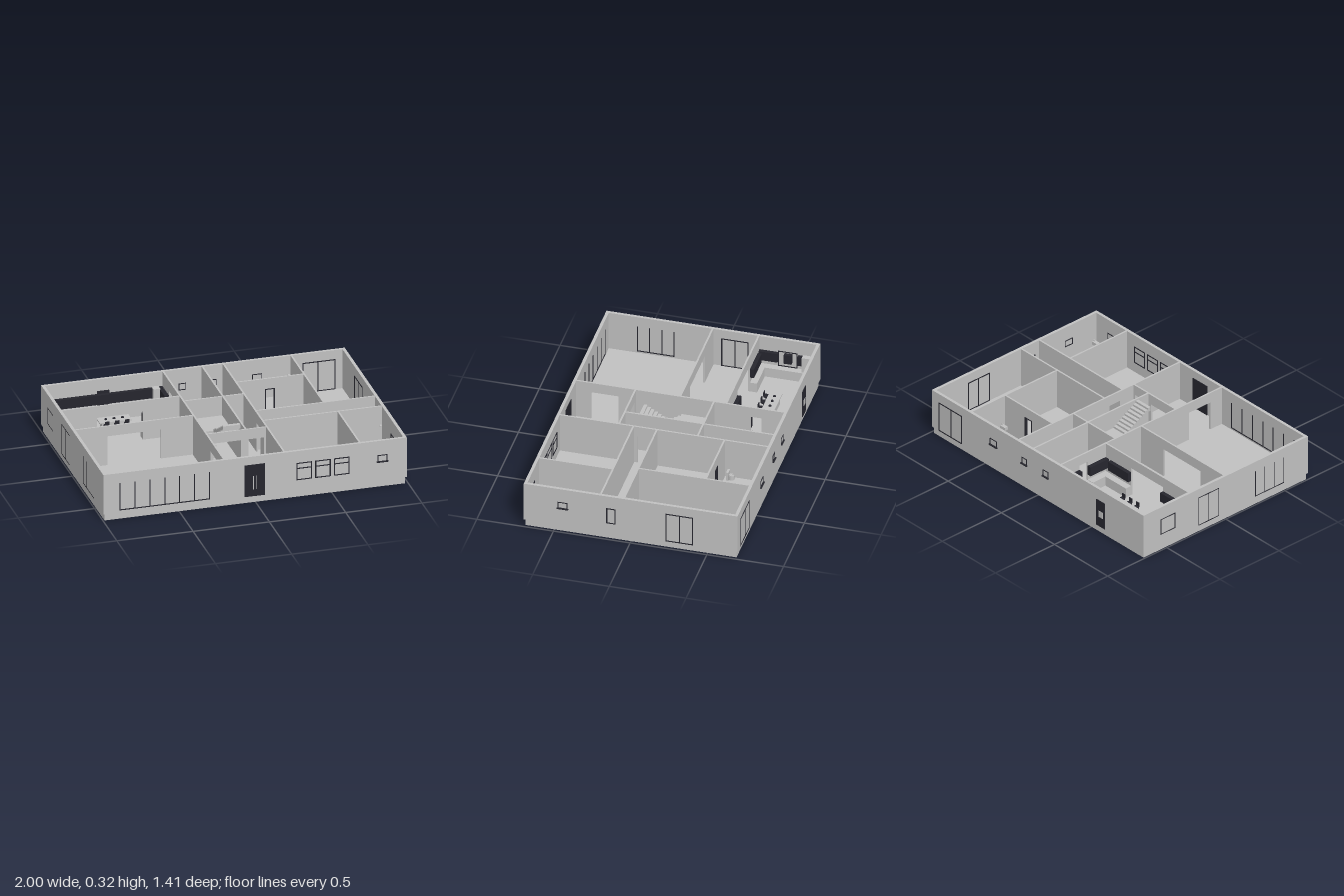
import * as THREE from 'three';

const FLOOR = 0.05, TOP = 0.32, HEAD = 0.25;

export function createModel() {
  const model = new THREE.Group();
  model.name = 'singleStoreyHouse';
  const grey = new THREE.MeshStandardMaterial({ color: 0xc0c0c0 });
  grey.name = 'plasterGrey';
  const dark = new THREE.MeshStandardMaterial({ color: 0x26262e });
  dark.name = 'charcoal';

  const group = (name) => {
    const g = new THREE.Group();
    g.name = name;
    model.add(g);
    return g;
  };
  // Box from its limits on each axis
  const box = (parent, name, mat, x0, x1, y0, y1, z0, z1) => {
    const m = new THREE.Mesh(new THREE.BoxGeometry(x1 - x0, y1 - y0, z1 - z0), mat);
    m.position.set((x0 + x1) / 2, (y0 + y1) / 2, (z0 + z1) / 2);
    m.name = name;
    parent.add(m);
    return m;
  };
  // Box running along x or z (u), with n0..n1 across it
  const slab = (parent, name, mat, axis, u0, u1, y0, y1, n0, n1) =>
    axis === 'x' ? box(parent, name, mat, u0, u1, y0, y1, n0, n1) : box(parent, name, mat, n0, n1, y0, y1, u0, u1);
  const cyl = (parent, name, mat, r, y0, y1, x, z, sides = 20) => {
    const m = new THREE.Mesh(new THREE.CylinderGeometry(r, r, y1 - y0, sides), mat);
    m.position.set(x, (y0 + y1) / 2, z);
    m.name = name;
    parent.add(m);
    return m;
  };

  // Foundation and outer walls
  box(model, 'foundation', grey, -0.99, 0.98, 0, FLOOR, -0.688, 0.688);
  const outer = group('outerWalls');
  const W = -1, E = 0.99, Z = 0.697, T = 0.02;
  box(outer, 'frontWall', grey, W, E, FLOOR - 0.003, TOP, Z - T, Z);
  box(outer, 'backWall', grey, W, E, FLOOR - 0.003, TOP, -Z, -Z + T);
  box(outer, 'rightWall', grey, W, W + T, FLOOR - 0.003, TOP, -Z + T, Z - T);
  box(outer, 'leftWall', grey, E - T, E, FLOOR - 0.003, TOP, -Z + T, Z - T);

  // Inner walls: axis, position across, start, end, doorways [from, to]
  const inner = group('innerWalls');
  const half = 0.006;
  const walls = [
    ['x', -0.3, -0.98, -0.211, [[-0.75, -0.45]]],
    ['x', 0, -0.98, -0.211, [[-0.77, -0.42]]],
    ['z', -0.205, -0.677, 0.677, [[-0.53, -0.46], [0.4, 0.58]]],
    ['x', -0.22, -0.199, 0.184, []],
    ['x', 0.292, -0.199, 0.184, [[-0.16, 0.02], [0.07, 0.17]]],
    ['z', 0.052, -0.677, -0.226, []],
    ['z', 0.052, -0.214, 0.286, []],
    ['z', 0.19, -0.677, 0.677, [[0.08, 0.17]]],
    ['x', -0.395, 0.196, 0.629, [[0.38, 0.44]]],
    ['z', 0.635, -0.677, 0.039, []],
    ['x', 0.045, 0.196, 0.97, []],
    ['x', 0.198, 0.196, 0.97, []],
    ['z', 0.685, 0.204, 0.677, []],
  ];
  for (const [axis, n, a, b, doors] of walls) {
    let u = a;
    for (const [d0, d1] of doors) {
      slab(inner, 'wallSection', grey, axis, u, d0, FLOOR, TOP, n - half, n + half);
      slab(inner, 'doorHeader', grey, axis, d0, d1, HEAD, TOP, n - half, n + half);
      u = d1;
    }
    slab(inner, 'wallSection', grey, axis, u, b, FLOOR, TOP, n - half, n + half);
  }
  // Trim around the bathroom doorway
  for (const x of [0.38, 0.44]) box(inner, 'doorTrim', dark, x - 0.004, x + 0.004, FLOOR, HEAD, -0.403, -0.387);
  box(inner, 'doorTrim', dark, 0.376, 0.444, HEAD - 0.006, HEAD, -0.403, -0.387);

  // Window frames: bars pass just through the wall and show on both sides
  const windows = group('windows');
  const sides = {
    front: ['x', Z - T - 0.003, Z + 0.003],
    back: ['x', -Z - 0.003, -Z + T + 0.003],
    left: ['z', E - T - 0.003, E + 0.003],
    right: ['z', W - 0.0005, W + T + 0.003],
  };
  const frame = (side, uprights, rails, t = 0.006) => {
    const [axis, n0, n1] = sides[side];
    const u0 = uprights[0], u1 = uprights[uprights.length - 1];
    const y0 = Math.min(...rails.slice(0, 2)), y1 = Math.max(...rails.slice(0, 2));
    for (const u of uprights) slab(windows, 'frameUpright', dark, axis, u - t / 2, u + t / 2, y0, y1, n0, n1);
    for (const y of rails.slice(rails.noTop ? 2 : 0))
      slab(windows, 'frameRail', dark, axis, u0 - t / 2, u1 + t / 2, y - t / 2, y + t / 2, n0, n1);
  };
  // Tall glazing without a dark top rail
  const glazing = (side, uprights, y0, y1) => {
    const rails = [y0, y1, y0];
    rails.noTop = true;
    frame(side, uprights, rails);
  };
  glazing('front', [-0.89, -0.792, -0.695, -0.597, -0.5, -0.402, -0.305], 0.065, 0.25);
  glazing('right', [0.25, 0.33, 0.41, 0.49], 0.065, 0.25);
  for (const x of [0.27, 0.392, 0.514]) frame('front', [x, x + 0.095], [0.122, 0.235, 0.2]);
  frame('left', [0.1, 0.155], [0.12, 0.228]);
  frame('left', [-0.405, -0.32, -0.23], [0.052, 0.255]);
  frame('right', [-0.55, -0.43], [0.12, 0.228]);
  frame('right', [-0.23, -0.145, -0.06], [0.052, 0.255]);
  frame('back', [0.71, 0.81, 0.92], [0.052, 0.255]);

  // Small high windows with projecting sills
  const small = [['front', 0.83], ['left', 0.443], ['back', 0.41], ['back', 0.12], ['back', -0.08]];
  for (const [side, u] of small) {
    const w = side === 'back' && u < 0.3 ? 0.022 : 0.03;
    frame(side, [u - w, u + w], [0.178, 0.22], 0.005);
    const [axis, n0, n1] = sides[side];
    const out = side === 'back' ? [n0 - 0.007, n0 + 0.01] : [n1 - 0.01, n1 + 0.007];
    slab(windows, 'windowSill', dark, axis, u - w - 0.008, u + w + 0.008, 0.173, 0.179, ...out);
  }

  // Entrance doors
  const doors = group('doors');
  box(doors, 'frontDoor', dark, -0.075, 0.06, 0.047, 0.265, Z - T - 0.004, Z + 0.004);
  for (const x of [-0.018, 0.004]) box(doors, 'doorHandle', grey, x - 0.002, x + 0.002, 0.095, 0.187, Z + 0.004, Z + 0.007);
  box(doors, 'doorSeam', grey, -0.0082, -0.0072, 0.05, 0.26, Z + 0.004, Z + 0.005);
  box(doors, 'backDoor', dark, -0.64, -0.56, 0.05, 0.24, -Z - 0.004, -Z + T + 0.004);
  box(doors, 'backDoorPane', grey, -0.622, -0.585, 0.12, 0.165, -Z - 0.006, -Z - 0.004);

  // Kitchen: base units, wall units, tall cupboard
  const kitchen = group('kitchen');
  const units = [
    ['x', -0.98, -0.211, -0.677, -0.635, -0.677, -0.652],
    ['x', -0.935, -0.75, -0.352, -0.306, -0.332, -0.306],
    ['x', -0.45, -0.26, -0.352, -0.306, -0.332, -0.306],
    ['z', -0.635, -0.306, -0.98, -0.935, null, null],
    ['z', -0.635, -0.53, -0.26, -0.211, -0.24, -0.211],
    ['z', -0.46, -0.306, -0.26, -0.211, -0.24, -0.211],
  ];
  for (const [axis, a, b, n0, n1, w0, w1] of units) {
    slab(kitchen, 'baseUnit', grey, axis, a, b, FLOOR, 0.117, n0, n1);
    if (w0 !== null) slab(kitchen, 'wallUnit', dark, axis, a, b, 0.155, 0.22, w0, w1);
  }
  for (const [a, b] of [[-0.585, -0.56], [-0.52, -0.47], [-0.43, -0.306]])
    box(kitchen, 'wallUnit', dark, -0.98, -0.955, 0.155, 0.22, a, b);
  box(kitchen, 'tallCupboard', grey, -0.282, -0.238, FLOOR, 0.225, -0.677, -0.63);
  box(kitchen, 'cornerCupboard', grey, -0.98, -0.945, 0.117, 0.225, -0.652, -0.59);

  // Island with bar stools
  const island = group('island');
  box(island, 'islandBase', grey, -0.665, -0.49, FLOOR, 0.115, -0.525, -0.475);
  box(island, 'islandTop', grey, -0.685, -0.475, 0.115, 0.122, -0.537, -0.455);
  for (const x of [-0.635, -0.58, -0.525]) {
    cyl(island, 'bowl', dark, 0.009, 0.122, 0.128, x, -0.497);
  }
  for (const x of [-0.647, -0.58, -0.513]) {
    cyl(island, 'stoolFoot', dark, 0.015, FLOOR, FLOOR + 0.004, x, -0.44);
    cyl(island, 'stoolPost', dark, 0.004, FLOOR, 0.105, x, -0.44, 8);
    cyl(island, 'stoolSeat', dark, 0.018, 0.103, 0.113, x, -0.44);
    box(island, 'stoolBack', dark, x - 0.014, x + 0.014, 0.11, 0.14, -0.429, -0.424);
  }

  // Two-flight staircase with a half landing
  const stairs = group('staircase');
  const steps = 9, run = 0.21 / steps, mid = 0.19;
  for (let i = 0; i < steps; i++) {
    const yLow = FLOOR + ((mid - FLOOR) * (i + 1)) / (steps + 1);
    const zLow = 0.2 - run * (i + 1);
    box(stairs, 'lowerStep', grey, -0.197, -0.08, FLOOR, yLow, zLow, zLow + run);
    const yUp = mid + ((0.312 - mid) * (i + 1)) / steps;
    const zUp = -0.01 + run * i;
    box(stairs, 'upperStep', grey, -0.07, 0.044, yUp - 0.028, yUp, zUp, zUp + run);
  }
  box(stairs, 'landing', grey, -0.199, 0.046, mid - 0.012, mid, -0.214, -0.01);

  // Bathroom fittings
  const baths = group('bathrooms');
  const toilet = (x, z, turn) => {
    const g = new THREE.Group();
    g.name = 'toilet';
    box(g, 'cistern', grey, -0.022, 0.022, 0, 0.06, -0.02, -0.006);
    const bowl = cyl(g, 'toiletBowl', grey, 0.016, 0, 0.032, 0, 0.008);
    bowl.scale.z = 1.2;
    const seat = new THREE.Mesh(new THREE.TorusGeometry(0.013, 0.003, 6, 20), grey);
    seat.rotation.x = Math.PI / 2;
    seat.position.set(0, 0.033, 0.008);
    seat.name = 'toiletSeat';
    g.add(seat);
    g.position.set(x, FLOOR, z);
    g.rotation.y = turn;
    baths.add(g);
  };
  toilet(0.085, -0.262, Math.PI);
  toilet(0.222, -0.44, Math.PI);
  toilet(0.73, 0.226, 0);
  for (const [x, z] of [[0.162, -0.256], [0.604, -0.435], [0.947, 0.653]]) {
    box(baths, 'basin', grey, x - 0.023, x + 0.023, 0.1, 0.122, z - 0.013, z + 0.013);
    box(baths, 'basinPedestal', grey, x - 0.006, x + 0.006, FLOOR, 0.1, z - 0.006, z + 0.006);
    box(baths, 'basinTap', grey, x + 0.012, x + 0.018, 0.122, 0.132, z - 0.003, z + 0.003);
  }
  box(baths, 'showerTray', grey, 0.555, 0.629, FLOOR, 0.06, -0.677, -0.612);
  cyl(baths, 'showerHead', grey, 0.009, 0.2, 0.206, 0.61, -0.645);
  cyl(baths, 'showerHead', grey, 0.009, 0.2, 0.206, 0.952, 0.242);

  return model;
}
